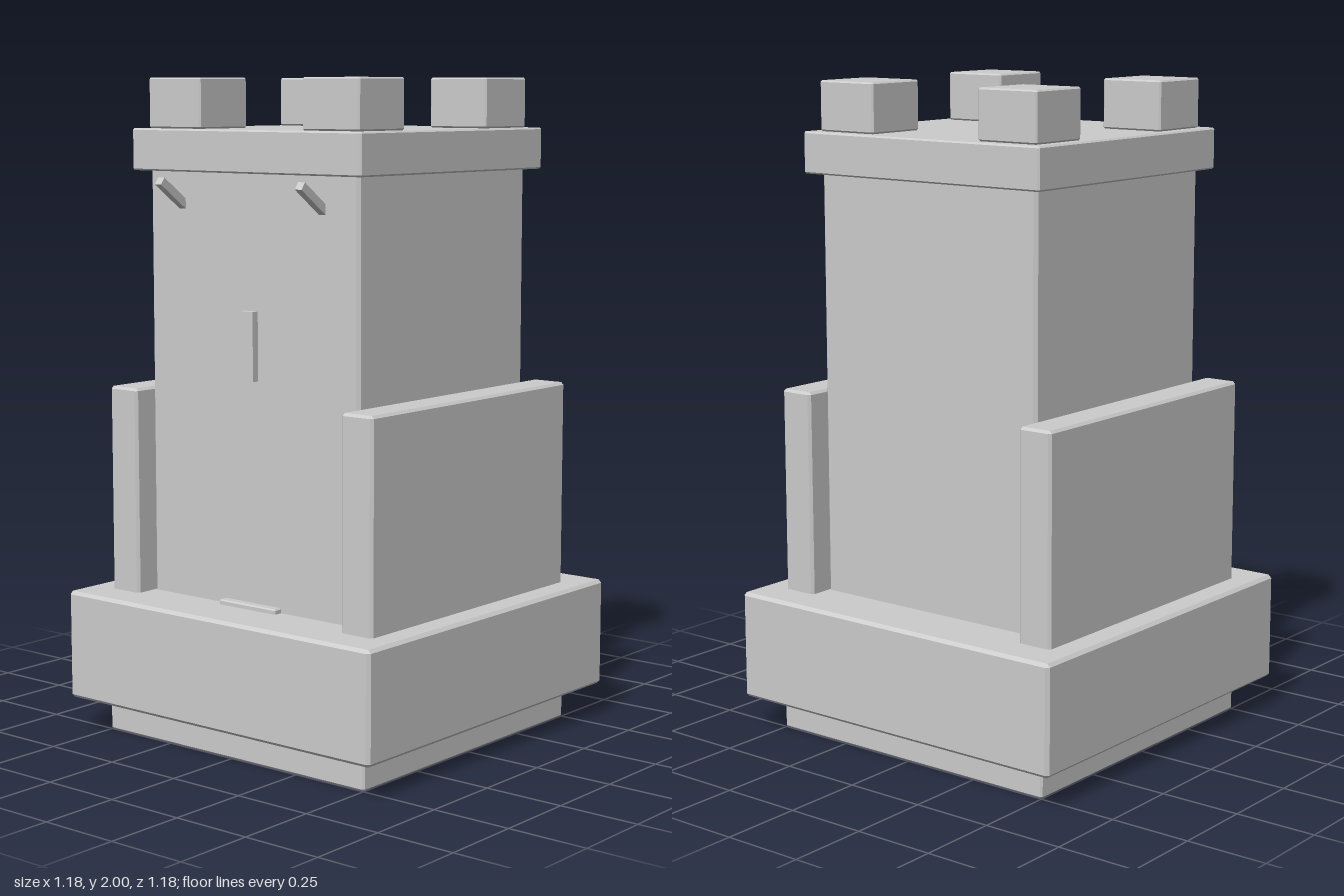
import * as THREE from 'three';
import { ConvexGeometry } from 'three/addons/geometries/ConvexGeometry.js';

const material = new THREE.MeshStandardMaterial({ color: 0xcccccc, flatShading: true });

// Box with chamfered edges: the hull of three slabs, each inset on two axes
function chamferBox(w, h, d, c) {
  const points = [];
  const half = [w / 2, h / 2, d / 2];
  for (let axis = 0; axis < 3; axis++) {
    for (const sx of [-1, 1]) for (const sy of [-1, 1]) for (const sz of [-1, 1]) {
      const s = [sx, sy, sz];
      points.push(new THREE.Vector3(...half.map((v, i) => s[i] * (i === axis ? v : v - c))));
    }
  }
  return new ConvexGeometry(points);
}

export function createModel() {
  const group = new THREE.Group();

  // Adds a box by its centre in x and z, its bottom and top, and its width and depth
  function block(name, x, z, bottom, top, w, d, chamfer = 0.008) {
    const h = top - bottom;
    const geometry = chamfer ? chamferBox(w, h, d, chamfer) : new THREE.BoxGeometry(w, h, d);
    const mesh = new THREE.Mesh(geometry, material);
    mesh.name = name;
    mesh.position.set(x, (bottom + top) / 2, z);
    group.add(mesh);
    return mesh;
  }

  // Stacked base, tower and overhanging roof slab
  block('plinth', 0, 0, 0, 0.095, 1.005, 1.005, 0.006);
  block('baseBlock', 0, 0, 0.105, 0.44, 1.18, 1.18, 0.01);
  block('tower', 0, 0, 0.085, 1.74, 0.805, 0.805, 0.01);
  block('roofSlab', 0, 0, 1.725, 1.85, 0.88, 0.88, 0.005);

  // Door and arrow slit on the front
  block('door', 0, 0.38, 0.09, 0.455, 0.22, 0.1, 0.004);
  block('arrowSlit', 0, 0.4, 1.12, 1.325, 0.05, 0.05, 0);

  for (const side of [-1, 1]) {
    const label = side > 0 ? 'left' : 'right';

    // Flanking wall, longer than the tower is deep
    block(label + 'SideWall', side * 0.455, 0, 0.3, 1.07, 0.112, 0.955, 0.008);

    // Corner merlons on the roof
    for (const end of [-1, 1]) {
      block(label + (end > 0 ? 'Front' : 'Back') + 'Merlon',
        side * 0.3, end * 0.3, 1.85, 2, 0.208, 0.208, 0.005);
    }

    // Slanted peg rising out of the front wall
    const peg = block(label + 'Peg', side * 0.27, 0.435, 1.64, 1.665, 0.025, 0.16, 0);
    peg.rotation.x = -0.62;
  }

  return group;
}
